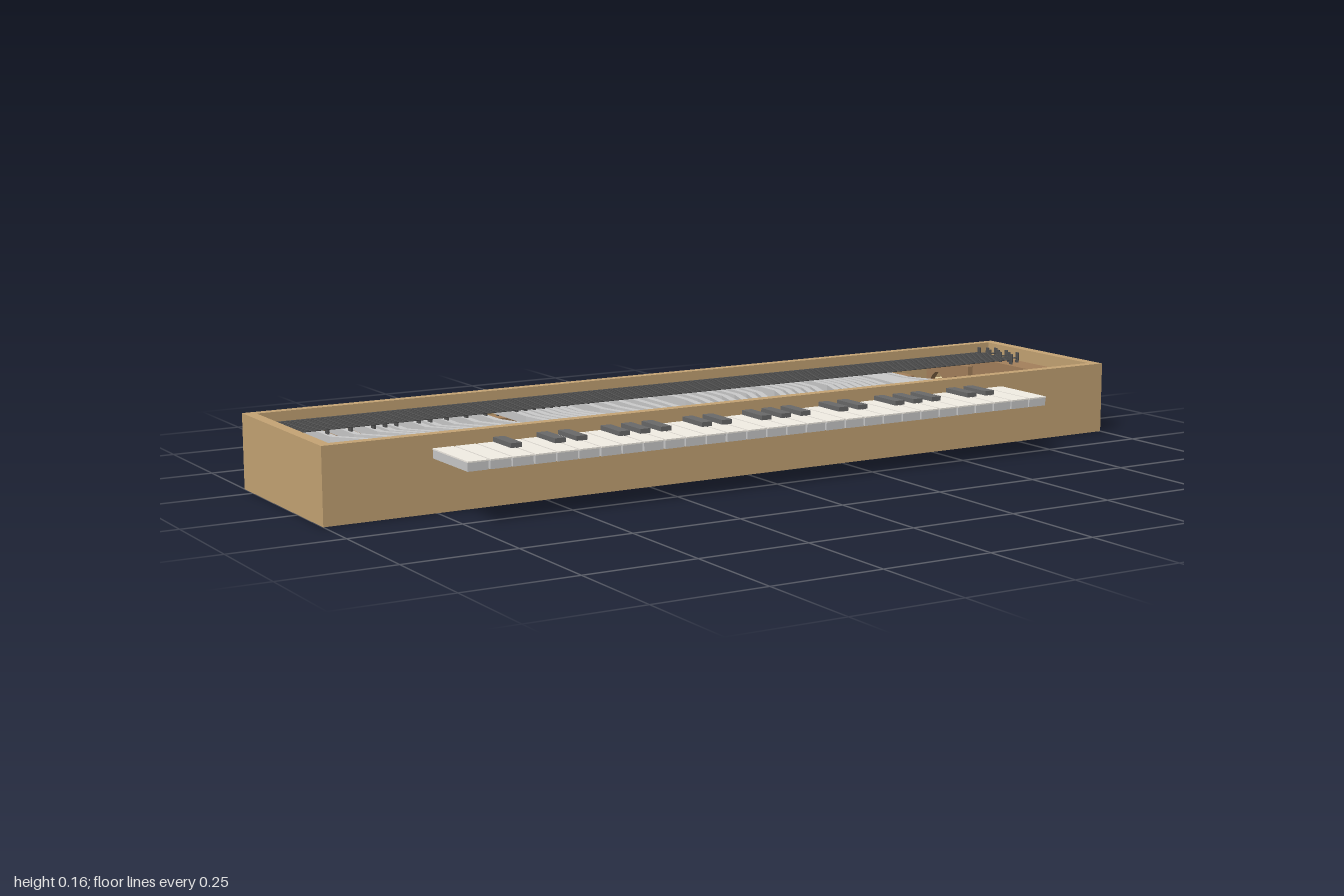
import * as THREE from 'three';

const mat = (color) => new THREE.MeshStandardMaterial({ color });
const WOOD = mat(0xc6a575), BROWN = mat(0xa5815c), PALE = mat(0xe8d5a6);
const GREY = mat(0xcccccc), IVORY = mat(0xf4efe6), DARK = mat(0x6a6a6a), METAL = mat(0x555555);

function add(parent, name, geometry, material) {
  const m = new THREE.Mesh(geometry, material);
  m.name = name;
  parent.add(m);
  return m;
}

// Box given by its limits on each axis
function box(parent, name, material, x0, x1, y0, y1, z0, z1) {
  const m = add(parent, name, new THREE.BoxGeometry(x1 - x0, y1 - y0, z1 - z0), material);
  m.position.set((x0 + x1) / 2, (y0 + y1) / 2, (z0 + z1) / 2);
  return m;
}

// Outline drawn in x and -z, raised from y0 to y1
function slab(parent, name, material, points, y0, y1) {
  const shape = new THREE.Shape(points.map(([x, z]) => new THREE.Vector2(x, -z)));
  const geometry = new THREE.ExtrudeGeometry(shape, { depth: y1 - y0, bevelEnabled: false });
  geometry.rotateX(-Math.PI / 2).translate(0, y0, 0);
  return add(parent, name, geometry, material);
}

function pin(parent, name, x, z, y0, y1, r = 0.003) {
  add(parent, name, new THREE.CylinderGeometry(r, r, y1 - y0, 6), METAL).position.set(x, (y0 + y1) / 2, z);
}

// Front position of a key lever -> position of its tail
const FAN = [[-0.76, -0.9], [-0.5, -0.62], [-0.4, -0.43], [-0.3, -0.34], [-0.2, -0.26],
  [-0.1, -0.1], [0.1, 0.16], [0.3, 0.36], [0.5, 0.52], [0.7, 0.61]];
function tailX(x) {
  let i = 0;
  while (i < FAN.length - 2 && x > FAN[i + 1][0]) i++;
  const [a, b] = [FAN[i], FAN[i + 1]];
  return THREE.MathUtils.mapLinear(x, a[0], b[0], a[1], b[1]);
}

export function createModel() {
  const model = new THREE.Group();
  model.name = 'clavichord';

  // Case: floor and four walls
  const body = new THREE.Group();
  body.name = 'case';
  model.add(body);
  const top = 0.165, floor = 0.09;
  box(body, 'bottom', WOOD, -1, 1, 0, floor - 0.005, -0.3, 0.133);
  box(body, 'frontWall', WOOD, -1, 1, floor - 0.005, top, 0.11, 0.133);
  box(body, 'backWall', WOOD, -1, 1, floor - 0.005, top, -0.3, -0.278);
  for (const s of [-1, 1]) {
    box(body, 'endWall', WOOD, Math.min(s, s * 0.975), Math.max(s, s * 0.975), floor - 0.005, top, -0.278, 0.11);
  }
  box(body, 'innerFloor', PALE, -0.975, 0.975, floor - 0.005, floor, -0.278, 0.11);
  box(body, 'hitchRail', BROWN, -0.975, -0.945, floor, 0.135, -0.278, 0.11);
  box(body, 'pinBlock', BROWN, 0.91, 0.975, floor, 0.135, -0.278, 0.11);
  box(body, 'backRail', BROWN, -0.945, 0.71, floor, 0.11, -0.278, -0.23);

  // Keyboard: 29 naturals and 18 accidentals with a short bottom octave
  const keyboard = new THREE.Group();
  keyboard.name = 'keyboard';
  model.add(keyboard);
  const left = -0.76, pitch = 1.46 / 29, levers = [];
  for (let i = 0; i < 29; i++) {
    const x0 = left + i * pitch + 0.002, x1 = x0 + pitch - 0.004;
    box(keyboard, 'naturalKey', GREY, x0, x1, 0.115, 0.133, 0.12, 0.294);
    box(keyboard, 'naturalKeyPlate', IVORY, x0, x1, 0.133, 0.136, 0.12, 0.297);
    levers.push((x0 + x1) / 2);
  }
  for (const i of [3, 5, 6, 8, 9, 10, 12, 13, 15, 16, 17, 19, 20, 22, 23, 24, 26, 27]) {
    const x = left + i * pitch;
    box(keyboard, 'accidentalKey', DARK, x - 0.0125, x + 0.0125, 0.135, 0.146, 0.12, 0.215);
    levers.push(x);
  }

  // Cranked key levers fanning out beneath the strings, each with a tangent
  const action = new THREE.Group();
  action.name = 'action';
  model.add(action);
  for (const x of levers) {
    const t = tailX(x), w = 0.0105, n = 0.0075;
    slab(action, 'keyLever', GREY, [
      [x - w, 0.115], [x + w, 0.115], [x + w, 0.06], [t + n, -0.11],
      [t + n, -0.268], [t - n, -0.268], [t - n, -0.11], [x - w, 0.06],
    ], 0.115, 0.133);
    const z = THREE.MathUtils.mapLinear(t, -0.9, 0.61, -0.14, -0.24);
    box(action, 'tangent', METAL, t - 0.002, t + 0.002, 0.133, 0.146, z - 0.008, z + 0.008);
    pin(action, 'guidePin', t, -0.262, 0.11, 0.142);
  }

  // Paired strings with hitch pins, tuning pins and bridge
  const stringing = new THREE.Group();
  stringing.name = 'stringing';
  model.add(stringing);
  const courses = 10;
  for (let i = 0; i < courses; i++) {
    for (const d of [-0.0025, 0.0025]) {
      const z = -0.25 + i * 0.0143 + d, xl = -0.96, xr = 0.925 + (i % 3) * 0.015;
      const wire = add(stringing, 'string', new THREE.CylinderGeometry(0.0014, 0.0014, xr - xl, 5), METAL);
      wire.rotation.z = Math.PI / 2;
      wire.position.set((xl + xr) / 2, 0.147, z);
      pin(stringing, 'hitchPin', xl, z, 0.13, 0.15, 0.002);
      pin(stringing, 'tuningPin', xr, z, 0.13, 0.16, 0.0028);
    }
  }
  const bridge = new THREE.Shape();
  bridge.moveTo(-0.085, 0);
  bridge.lineTo(-0.07, 0);
  bridge.quadraticCurveTo(-0.04, 0.05, -0.01, 0);
  bridge.lineTo(0.01, 0);
  bridge.quadraticCurveTo(0.04, 0.05, 0.07, 0);
  bridge.lineTo(0.085, 0);
  bridge.lineTo(0.085, 0.055);
  bridge.lineTo(-0.085, 0.055);
  const bridgeGeo = new THREE.ExtrudeGeometry(bridge, { depth: 0.014, bevelEnabled: false });
  bridgeGeo.translate(0, 0, -0.007).rotateY(Math.PI / 2);
  add(stringing, 'bridge', bridgeGeo, BROWN).position.set(0.78, floor, -0.18);

  // Loose block on the soundboard
  const block = box(model, 'smallBlock', BROWN, 0.665, 0.715, floor, 0.115, -0.145, -0.06);
  block.rotation.y = -0.25;
  return model;
}
